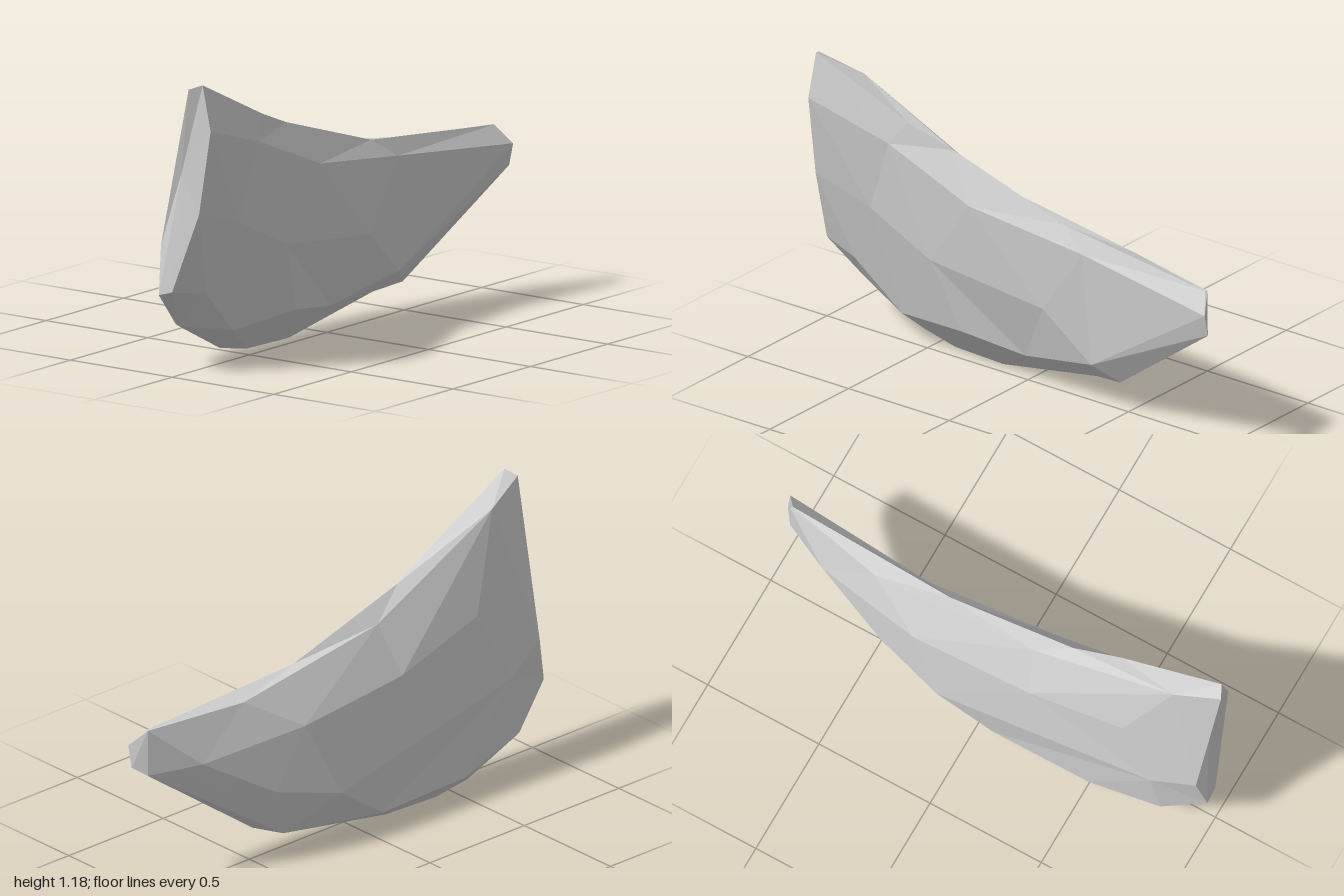
import * as THREE from 'three';

// Shared corner points
const lowFront = [-0.065, 0.32, 1];
const backLow = [0.085, 0.48, -0.96];
const backTip = [0.155, 0.6, -1];
const keelEnd = [-0.055, 0.09, -0.37];

// Long edges of the shard, each running front to back,
// ordered counter-clockwise as seen from the front
const crestLeft = [[0.07, 1.16, 0.985], [0.015, 1.095, 0.8], [0, 0.8, 0.18], [0, 0.69, -0.53], [0.085, 0.675, -0.96]];
const leftUpper = [[-0.085, 0.51, 0.96], [-0.085, 0.72, 0.63], [-0.1, 0.6, 0.22], [-0.105, 0.55, -0.3], [-0.015, 0.5, -0.76], backLow];
const leftBelly = [lowFront, [-0.125, 0.42, 0.78], [-0.165, 0.235, -0.16], [-0.1, 0.31, -0.45], backLow];
const leftChine = [lowFront, [-0.12, 0.165, 0.82], [-0.14, 0.075, 0.51], [-0.14, 0.065, 0.08], keelEnd, backLow];
const keel = [lowFront, [-0.075, 0.17, 0.86], [-0.085, 0.03, 0.58], [-0.075, 0, 0.42], [-0.06, 0, 0.17], keelEnd, backLow];
const rightChine = [[0, 0.34, 1], [0.04, 0.31, 0.83], [0.01, 0.12, 0.62], [0.06, 0.15, 0.28], [0.018, 0.11, 0], [0.015, 0.122, -0.47], [0.135, 0.51, -1]];
const rightMiddle = [[0.11, 0.66, 0.97], [0.105, 0.58, 0.7], [0.11, 0.44, 0.4], [0.1, 0.38, -0.15], [0.072, 0.19, -0.37], backTip];
const shoulder = [[0.163, 1, 0.965], [0.122, 0.89, 0.6], [0.12, 0.73, 0.2], [0.09, 0.66, -0.34], backTip];
const crestRight = [[0.12, 1.18, 0.96], [0.085, 0.985, 0.53], [0.05, 0.91, 0.33], [0.05, 0.74, -0.22], [0.095, 0.675, -0.955]];

function shardGeometry(edges) {
  const positions = [];
  const triangle = (a, b, c) => {
    if (a !== b && b !== c && a !== c) positions.push(...a, ...b, ...c);
  };

  // Skin between neighbouring edges, stepping along whichever lies further forward
  edges.forEach((a, n) => {
    const b = edges[(n + 1) % edges.length];
    let i = 0, j = 0;
    while (i < a.length - 1 || j < b.length - 1) {
      const stepA = j === b.length - 1 || (i < a.length - 1 && a[i + 1][2] >= b[j + 1][2]);
      if (stepA) {
        triangle(a[i], a[i + 1], b[j]);
        i++;
      } else {
        triangle(a[i], b[j + 1], b[j]);
        j++;
      }
    }
  });

  // Front cap around a shallow dent, and back cap at the tip
  const dent = [0.015, 0.81, 0.96];
  const last = edges.map((e) => e[e.length - 1]);
  edges.forEach((e, n) => {
    const m = (n + 1) % edges.length;
    triangle(dent, e[0], edges[m][0]);
    triangle(last[0], last[m], last[n]);
  });

  const geometry = new THREE.BufferGeometry();
  geometry.setAttribute('position', new THREE.Float32BufferAttribute(positions, 3));
  geometry.computeVertexNormals();
  return geometry;
}

export function createModel() {
  const stone = new THREE.MeshStandardMaterial({ color: 0xcfcfcf, flatShading: true });
  stone.name = 'paleStoneGrey';

  const shard = new THREE.Mesh(
    shardGeometry([crestLeft, leftUpper, leftBelly, leftChine, keel, rightChine, rightMiddle, shoulder, crestRight]),
    stone
  );
  shard.name = 'rockShard';

  const model = new THREE.Group();
  model.name = 'rock';
  model.add(shard);
  return model;
}
